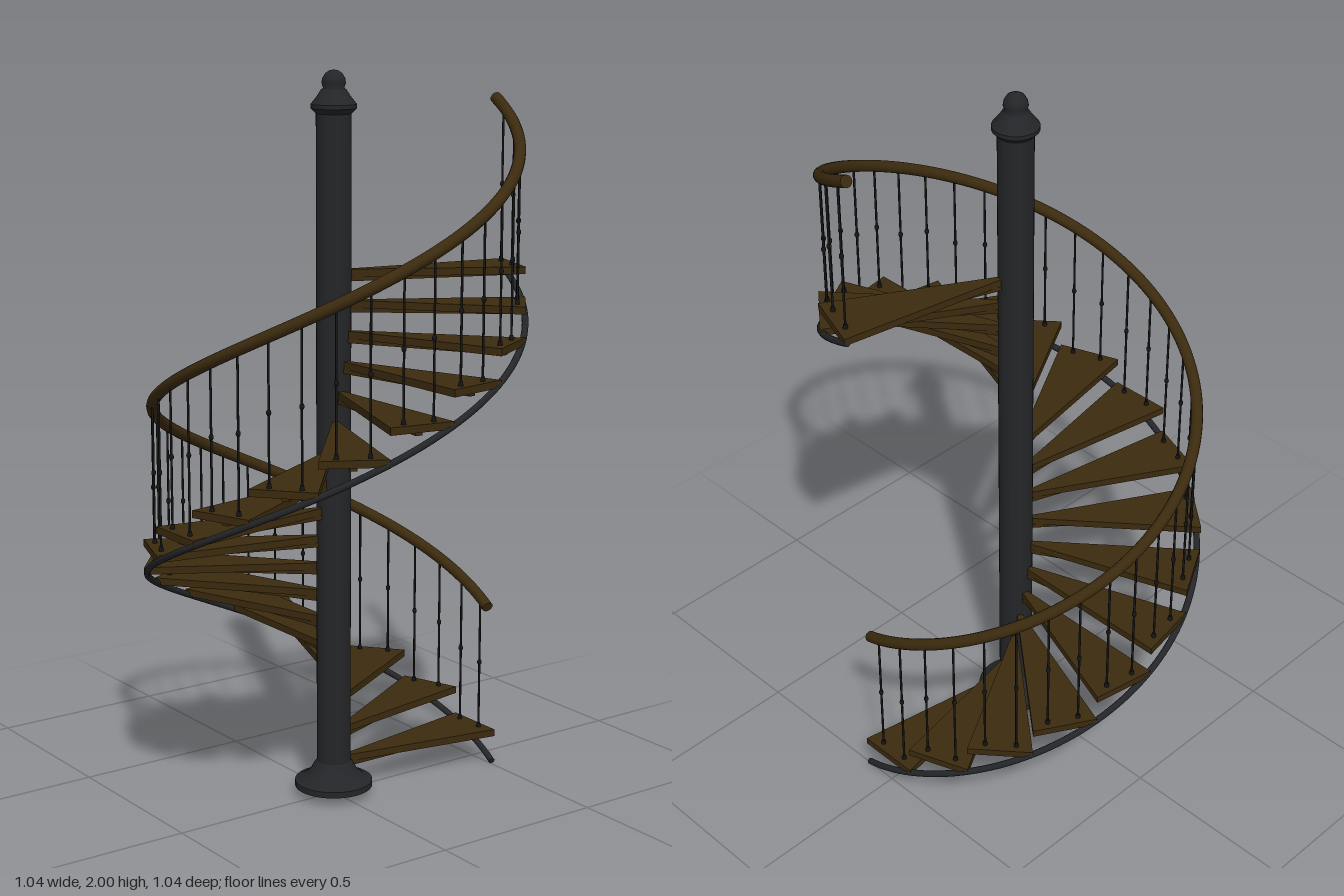
import * as THREE from 'three';

const STEPS = 18;
const STEP_ANGLE = THREE.MathUtils.degToRad(20);
const START = -STEP_ANGLE / 2;
const RISE = 0.0807;
const RAIL_Y0 = 0.477, RAIL_Y1 = 1.915;

const iron = new THREE.MeshStandardMaterial({ color: 0x242528 });
iron.name = 'iron';
const wood = new THREE.MeshStandardMaterial({ color: 0x3b2a0e });
wood.name = 'darkWood';
const black = new THREE.MeshStandardMaterial({ color: 0x141415 });
black.name = 'blackMetal';

// One full turn around the post, climbing from y0 to y1
class Helix extends THREE.Curve {
  constructor(radius, y0, y1) {
    super();
    Object.assign(this, { radius, y0, y1 });
  }
  getPoint(t, target = new THREE.Vector3()) {
    const a = START + t * Math.PI * 2;
    return target.set(
      this.radius * Math.cos(a),
      this.y0 + t * (this.y1 - this.y0),
      -this.radius * Math.sin(a)
    );
  }
}

function addMesh(parent, name, geometry, material) {
  const mesh = new THREE.Mesh(geometry, material);
  mesh.name = name;
  parent.add(mesh);
  return mesh;
}

// Helical bar with closed ends
function helixBar(name, radius, y0, y1, thickness, material) {
  const group = new THREE.Group();
  group.name = name;
  const curve = new Helix(radius, y0, y1);
  addMesh(group, name + 'Bar', new THREE.TubeGeometry(curve, 144, thickness, 12), material);
  for (const t of [0, 1]) {
    const cap = addMesh(group, name + 'End', new THREE.CircleGeometry(thickness, 12), material);
    cap.position.copy(curve.getPoint(t));
    const out = curve.getTangent(t).multiplyScalar(t ? 1 : -1);
    cap.quaternion.setFromUnitVectors(new THREE.Vector3(0, 0, 1), out);
  }
  return group;
}

function lathe(points) {
  return new THREE.LatheGeometry(points.map(([x, y]) => new THREE.Vector2(x, y)), 32);
}

// Wedge-shaped tread, thickness upwards from y = 0
function treadGeometry() {
  const half = STEP_ANGLE / 2;
  const corner = (r, a) => new THREE.Vector2(r * Math.cos(a), r * Math.sin(a));
  const shape = new THREE.Shape([
    corner(0.04, -half), corner(0.517, -half), corner(0.517, half), corner(0.04, half),
  ]);
  return new THREE.ExtrudeGeometry(shape, { depth: 0.02, bevelEnabled: false }).rotateX(-Math.PI / 2);
}

export function createModel() {
  const model = new THREE.Group();
  model.name = 'spiralStaircase';

  // Central post with flared foot
  addMesh(model, 'post', new THREE.CylinderGeometry(0.047, 0.047, 1.85, 32).translate(0, 0.975, 0), iron);
  addMesh(model, 'postFoot', lathe([
    [0, 0.025], [0.108, 0.025], [0.108, 0.025], [0.108, 0.042], [0.108, 0.042],
    [0.088, 0.05], [0.066, 0.068], [0.054, 0.09], [0.046, 0.1],
  ]), iron);

  // Collar and rounded finial
  addMesh(model, 'finial', lathe([
    [0.046, 1.885], [0.061, 1.9], [0.061, 1.9], [0.061, 1.911], [0.061, 1.911],
    [0.044, 1.932], [0.034, 1.948], [0.028, 1.953], [0.032, 1.966],
    [0.03, 1.978], [0.022, 1.991], [0.011, 1.998], [0, 2.0],
  ]), iron);

  // Treads with a support arm and two balusters each
  const tread = treadGeometry();
  const arm = new THREE.BoxGeometry(0.45, 0.012, 0.02).translate(0.265, -0.006, 0);
  const rod = new THREE.CylinderGeometry(0.0032, 0.0032, 1, 8).translate(0, 0.5, 0);
  const bead = new THREE.SphereGeometry(0.0065, 10, 8).scale(1, 1.4, 1);
  const foot = new THREE.CylinderGeometry(0.005, 0.007, 0.012, 10).translate(0, 0.006, 0);

  for (let i = 0; i < STEPS; i++) {
    const step = new THREE.Group();
    step.name = 'step' + (i + 1);
    const base = 0.084 + i * RISE;
    step.position.y = base;
    step.rotation.y = i * STEP_ANGLE;
    addMesh(step, 'tread', tread, wood);
    addMesh(step, 'supportArm', arm, wood);

    for (const side of [-1, 1]) {
      const local = side * STEP_ANGLE / 4;
      const t = (i * STEP_ANGLE + local - START) / (Math.PI * 2);
      const height = RAIL_Y0 + t * (RAIL_Y1 - RAIL_Y0) - base - 0.02;
      const baluster = new THREE.Group();
      baluster.name = 'baluster';
      baluster.position.set(0.489 * Math.cos(local), 0.02, -0.489 * Math.sin(local));
      addMesh(baluster, 'rod', rod, black).scale.y = height;
      addMesh(baluster, 'bead', bead, black).position.y = height / 2;
      addMesh(baluster, 'rodFoot', foot, black);
      step.add(baluster);
    }
    model.add(step);
  }

  // Outer stringer below the treads and the handrail above
  model.add(helixBar('stringer', 0.509, 0.009, 0.009 + STEPS * RISE, 0.009, iron));
  model.add(helixBar('handrail', 0.487, RAIL_Y0, RAIL_Y1, 0.016, wood));

  return model;
}
